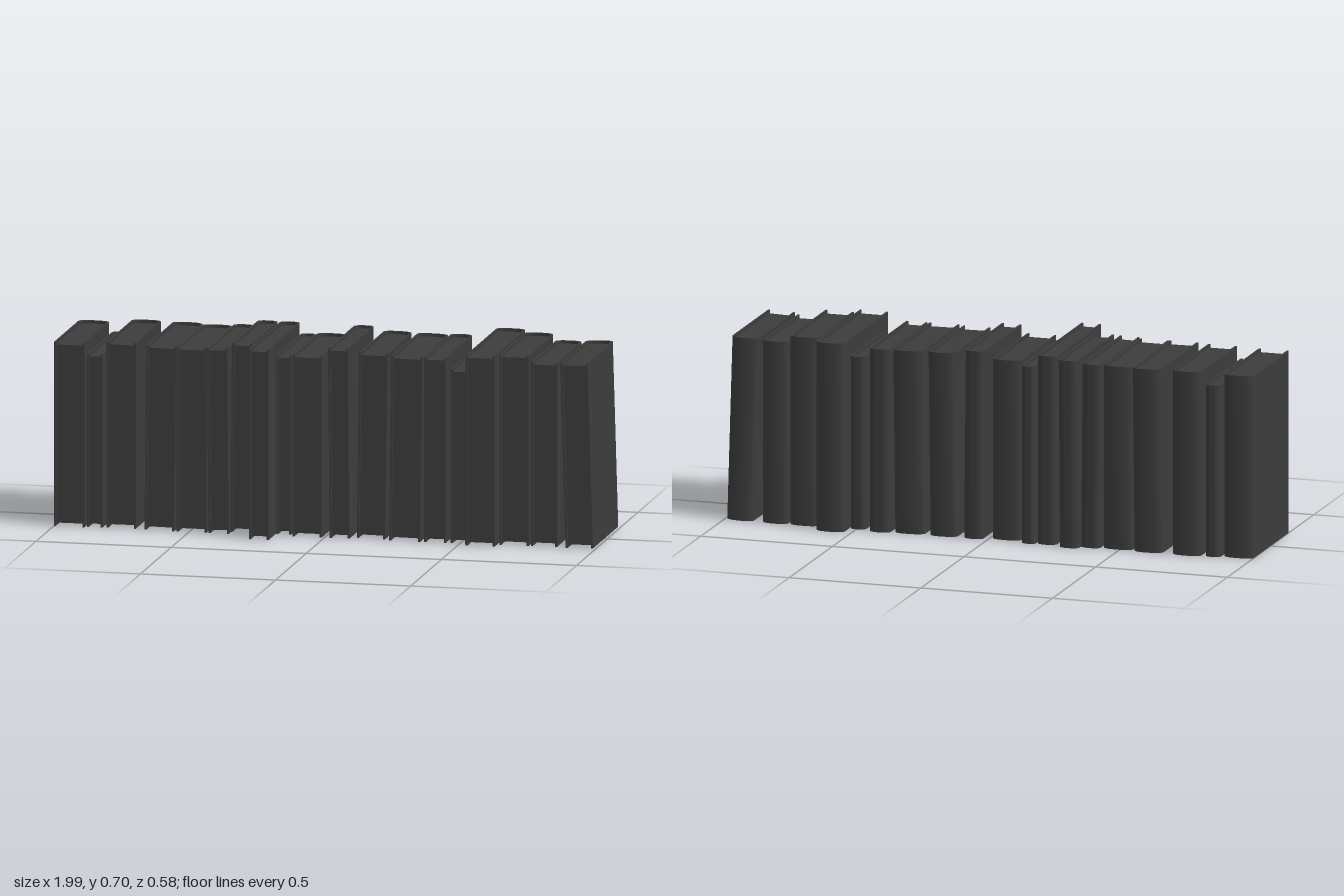
import * as THREE from 'three';
import { toCreasedNormals } from 'three/addons/utils/BufferGeometryUtils.js';

const BOARD = 0.007;   // cover thickness
const OVERHANG = 0.011; // cover overhang past the pages
const BULGE = 0.024;   // depth of the rounded spine

// Each book: left x, right x, height, spine z, front z, sideways lean at the top
const BOOKS = [
  [-1.0, -0.887, 0.677, -0.212, 0.21, 0],
  [-0.88, -0.822, 0.637, -0.225, 0.2, 0],
  [-0.808, -0.7, 0.683, -0.235, 0.195, 0],
  [-0.667, -0.553, 0.68, -0.237, 0.21, 0.008],
  [-0.545, -0.435, 0.679, -0.225, 0.21, 0],
  [-0.428, -0.35, 0.682, -0.235, 0.215, -0.006],
  [-0.355, -0.278, 0.695, -0.26, 0.175, 0.005],
  [-0.26, -0.187, 0.7, -0.235, 0.291, 0],
  [-0.184, -0.13, 0.658, -0.242, 0.178, 0],
  [-0.118, -0.01, 0.668, -0.214, 0.205, 0],
  [0.018, 0.094, 0.698, -0.235, 0.205, -0.006],
  [0.114, 0.222, 0.682, -0.236, 0.185, 0.008],
  [0.238, 0.356, 0.679, -0.236, 0.205, 0.008],
  [0.368, 0.448, 0.68, -0.245, 0.2, 0],
  [0.466, 0.526, 0.64, -0.225, 0.2, 0],
  [0.528, 0.635, 0.7, -0.291, 0.23, 0],
  [0.644, 0.752, 0.7, -0.235, 0.19, 0],
  [0.76, 0.856, 0.676, -0.236, 0.185, 0],
  [0.886, 0.997, 0.68, -0.237, 0.197, -0.02],
];

// Rounded spine outline from one side to the other, in plan (y is -z)
function spineCurve(half, back, bulge, steps = 16) {
  return Array.from({ length: steps + 1 }, (_, i) => {
    const a = Math.PI * (1 - i / steps);
    const c = Math.cos(a);
    return new THREE.Vector2(
      half * Math.sign(c) * Math.abs(c) ** 0.85,
      -back - bulge + bulge * Math.max(0, Math.sin(a)) ** 0.85,
    );
  });
}

// Extrudes a plan outline upwards, keeping the spine smooth
function extrudeUp(points, y0, y1) {
  const geometry = new THREE.ExtrudeGeometry(new THREE.Shape(points), {
    depth: y1 - y0, bevelEnabled: false,
  });
  geometry.rotateX(-Math.PI / 2).translate(0, y0, 0);
  return toCreasedNormals(geometry, 0.7);
}

function makeBook([x0, x1, height, back, front, lean], material) {
  const book = new THREE.Group();
  const half = (x1 - x0 - Math.abs(lean)* 0.5) / 2;
  const inner = half - BOARD;
  const insideSpine = spineCurve(inner, back + BOARD, BULGE);

  // Two boards joined by the curved spine, as one U-shaped outline
  const cover = new THREE.Mesh(extrudeUp([
    new THREE.Vector2(-half, -front),
    ...spineCurve(half, back, BULGE),
    new THREE.Vector2(half, -front),
    new THREE.Vector2(inner, -front),
    ...insideSpine.slice().reverse(),
    new THREE.Vector2(-inner, -front),
  ], 0, height), material);
  cover.name = 'cover';

  // Page block, set back from the cover at the top, bottom and front
  const pages = new THREE.Mesh(extrudeUp([
    new THREE.Vector2(-inner, -front + OVERHANG),
    ...insideSpine,
    new THREE.Vector2(inner, -front + OVERHANG),
  ], OVERHANG, height - OVERHANG), material);
  pages.name = 'pages';

  book.add(cover, pages);
  book.rotation.z = -lean / height;
  // Lift a leaning book so its lowest corner rests on the ground
  book.position.set((x0 + x1) / 2, half * Math.abs(Math.sin(lean / height)), 0);
  return book;
}

export function createModel() {
  const model = new THREE.Group();
  model.name = 'bookRow';
  const material = new THREE.MeshStandardMaterial({ color: 0x3c3c3c });
  BOOKS.forEach((spec, i) => {
    const book = makeBook(spec, material);
    book.name = `book${i + 1}`;
    model.add(book);
  });
  return model;
}
